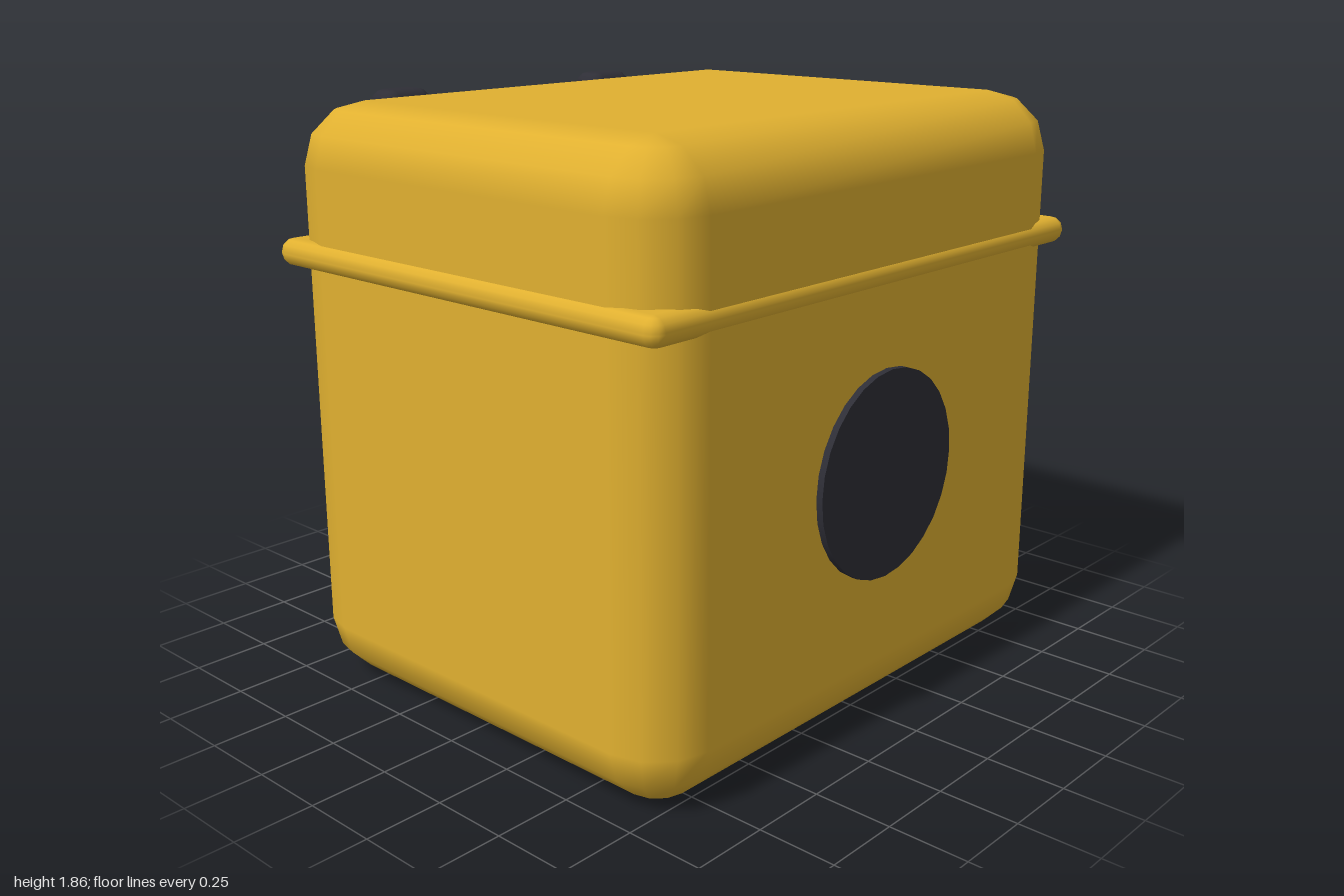
import * as THREE from 'three';

const yellow = new THREE.MeshStandardMaterial({ color: 0xe0b030 });
const dark = new THREE.MeshStandardMaterial({ color: 0x2e2e36 });

// Box with rounded edges and corners, built as a stack of rounded-rectangle rings.
function bevelBox(w, h, d, r, seg = 3) {
  const pos = [], nor = [], idx = [];
  const perRing = 4 * (seg + 1), rings = 2 * (seg + 1);
  for (let i = 0; i < rings; i++) {
    const top = i > seg;
    const phi = ((top ? i - 1 : i) / seg - 1) * Math.PI / 2;
    for (let q = 0; q < 4; q++) {
      const sx = q === 0 || q === 3 ? 1 : -1, sz = q < 2 ? 1 : -1;
      for (let k = 0; k <= seg; k++) {
        const a = (q + k / seg) * Math.PI / 2;
        const n = [Math.cos(phi) * Math.cos(a), Math.sin(phi), Math.cos(phi) * Math.sin(a)];
        nor.push(...n);
        pos.push(
          sx * (w / 2 - r) + r * n[0],
          (top ? 1 : -1) * (h / 2 - r) + r * n[1],
          sz * (d / 2 - r) + r * n[2]
        );
      }
    }
  }
  for (let i = 0; i < rings - 1; i++) {
    for (let j = 0; j < perRing; j++) {
      const a = i * perRing + j, b = i * perRing + (j + 1) % perRing;
      idx.push(a, a + perRing, b, b, a + perRing, b + perRing);
    }
  }
  // Flat bottom and top
  const s = seg + 1, t = (rings - 1) * perRing;
  idx.push(0, s, 2 * s, 0, 2 * s, 3 * s);
  idx.push(t, t + 2 * s, t + s, t, t + 3 * s, t + 2 * s);

  const geo = new THREE.BufferGeometry();
  geo.setAttribute('position', new THREE.Float32BufferAttribute(pos, 3));
  geo.setAttribute('normal', new THREE.Float32BufferAttribute(nor, 3));
  geo.setIndex(idx);
  return geo;
}

export function createModel() {
  const group = new THREE.Group();
  const add = (name, geo, mat, x, y, z) => {
    const mesh = new THREE.Mesh(geo, mat);
    mesh.name = name;
    mesh.position.set(x, y, z);
    group.add(mesh);
    return mesh;
  };

  // Main case and the rim under its lid
  add('body', bevelBox(1.95, 1.86, 1.585, 0.19), yellow, 0, 0.93, 0.048);
  add('lidRim', bevelBox(2, 0.086, 1.603, 0.04), yellow, 0, 1.4, 0.048);

  // Round plate on the front
  const plate = new THREE.CylinderGeometry(0.325, 0.325, 0.06, 28).rotateX(Math.PI / 2);
  add('frontPlate', plate, dark, 0, 0.795, 0.832);

  // Pair of straps down the back
  const strap = bevelBox(0.186, 1.67, 0.137, 0.045);
  for (const [name, side] of [['leftStrap', 1], ['rightStrap', -1]]) {
    add(name, strap, dark, side * 0.465, 1.025, -0.793);
  }
  return group;
}
